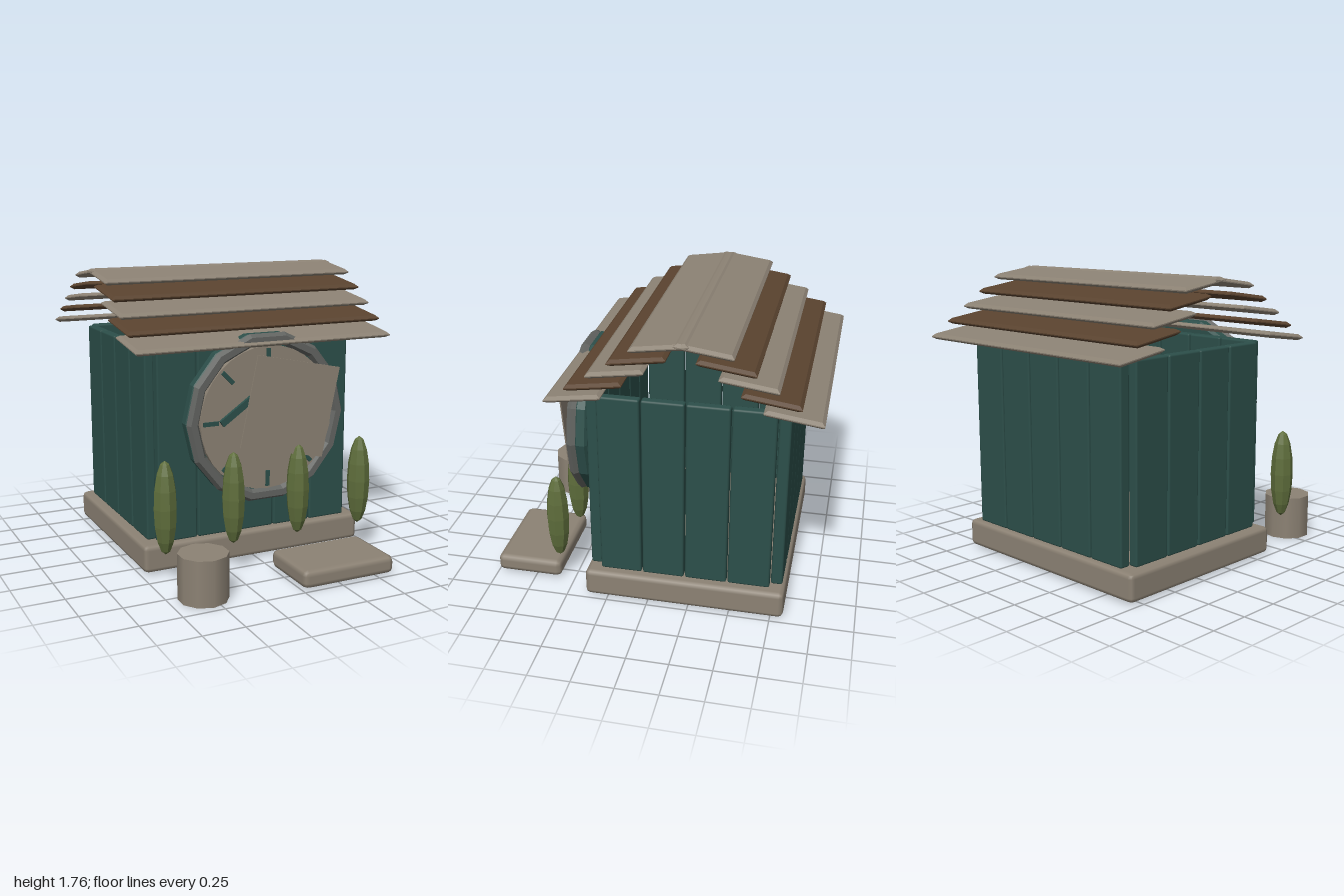
import * as THREE from 'three';
import { RoundedBoxGeometry } from 'three/addons/geometries/RoundedBoxGeometry.js';

const mat = (name, color, extra = {}) => {
  const m = new THREE.MeshStandardMaterial({ color, ...extra });
  m.name = name;
  return m;
};

export function createModel() {
  const root = new THREE.Group();
  root.name = 'clockHut';
  const stone = mat('stone', 0x8c8274);
  const brown = mat('brownWood', 0x5a432f);
  const teal = mat('tealWood', 0x2c4f4a);
  const green = mat('foliage', 0x5f6e3c, { flatShading: true });
  const metal = mat('rimGrey', 0x626461, { flatShading: true });

  const add = (name, geo, material, x, y, z, parent = root) => {
    const m = new THREE.Mesh(geo, material);
    m.name = name;
    m.position.set(x, y, z);
    parent.add(m);
    return m;
  };
  const block = (w, h, d, r) => new RoundedBoxGeometry(w, h, d, 1, r);

  // Thin board with pointed chamfers all round, lying flat
  const board = (w, t, d) => {
    const b = 0.02, x = w / 2 - b, z = d / 2 - b;
    const s = new THREE.Shape([[-x, -z], [x, -z], [x, z], [-x, z]].map(p => new THREE.Vector2(...p)));
    const g = new THREE.ExtrudeGeometry(s, {
      depth: 0.006, bevelThickness: t / 2 - 0.003, bevelSize: b, bevelSegments: 1,
    });
    return g.translate(0, 0, -0.003).rotateX(-Math.PI / 2);
  };

  // Base slab, doorstep and stump
  add('base', block(1.46, 0.17, 1.215, 0.03), stone, 0, 0.1, -0.22);
  add('doorstep', block(0.605, 0.11, 0.415, 0.035), stone, 0.302, 0.07, 0.79);
  add('stump', new THREE.CylinderGeometry(0.146, 0.146, 0.27, 10), stone, -0.548, 0.14, 0.815);

  // Plank walls, open at the gables
  const wallY = 0.767, wallH = 1.155;
  const walls = new THREE.Group();
  walls.name = 'walls';
  root.add(walls);
  for (const z of [0.333, -0.773])
    for (let i = 0; i < 5; i++)
      add('wallPlank', block(0.247, wallH, 0.07, 0.012), teal, (i - 2) * 0.254, wallY, z, walls);
  for (const x of [-0.648, 0.648])
    for (let i = 0; i < 4; i++)
      add('sidePlank', block(0.06, wallH, 0.251, 0.012), teal, x, wallY, 0.168 - i * 0.259, walls);

  // Overlapping roof boards, mirrored about the ridge
  const ridgeZ = -0.222;
  const roof = new THREE.Group();
  roof.name = 'roof';
  root.add(roof);
  for (const side of [1, -1])
    for (let i = 0; i < 5; i++) {
      const m = add('roofBoard', board(1.645, 0.036, 0.33), i % 2 ? brown : stone,
        0, 1.383 + i * 0.085, ridgeZ + side * (0.61 - i * 0.122), roof);
      m.rotation.x = side * 0.14;
    }

  // Clock: backing, rim, face, hour marks, hand and loose panel
  const clock = new THREE.Group();
  clock.name = 'clock';
  clock.position.set(0, 0.92, 0);
  root.add(clock);
  const profile = [[0, -0.04], [0.485, -0.04], [0.505, -0.025], [0.505, 0.025], [0.485, 0.04], [0, 0.04]]
    .map(p => new THREE.Vector2(...p));
  const tealFlat = mat('tealWood', 0x2c4f4a, { flatShading: true });
  const backing = new THREE.LatheGeometry(profile, 14, Math.PI / 14).rotateX(Math.PI / 2);
  add('clockBacking', backing, tealFlat, 0, 0, 0.452, clock);
  const rim = add('clockRim', new THREE.TorusGeometry(0.475, 0.038, 6, 14), metal, 0, 0, 0.51, clock);
  rim.scale.z = 0.9;
  add('clockFace', new THREE.CylinderGeometry(0.43, 0.43, 0.04, 32).rotateX(Math.PI / 2), stone, 0, 0, 0.505, clock);
  for (let i = 0; i < 8; i++) {
    const a = i * Math.PI / 4;
    const tick = add('hourMark', new THREE.BoxGeometry(0.095, 0.025, 0.009), teal,
      0.367 * Math.cos(a), 0.367 * Math.sin(a), 0.5295, clock);
    tick.rotation.z = a;
  }
  const hand = add('clockHand', new THREE.BoxGeometry(0.375, 0.04, 0.02), teal, -0.155, 0.105, 0.55, clock);
  hand.rotation.z = 0.6;
  add('clockHub', new THREE.CylinderGeometry(0.045, 0.045, 0.05, 12).rotateX(Math.PI / 2), teal, 0, 0, 0.548, clock);
  const panel = add('facePanel', new THREE.BoxGeometry(0.556, 0.55, 0.008), stone, 0.122, 0.063, 0.58, clock);
  panel.rotation.z = -0.205;

  // Row of slender shrubs
  for (let i = 0; i < 4; i++) {
    const s = add('shrub', new THREE.SphereGeometry(1, 8, 8), green, -0.675 + i * 0.427, 0.478, 0.578);
    s.scale.set(0.07, 0.277, 0.07);
  }
  return root;
}
